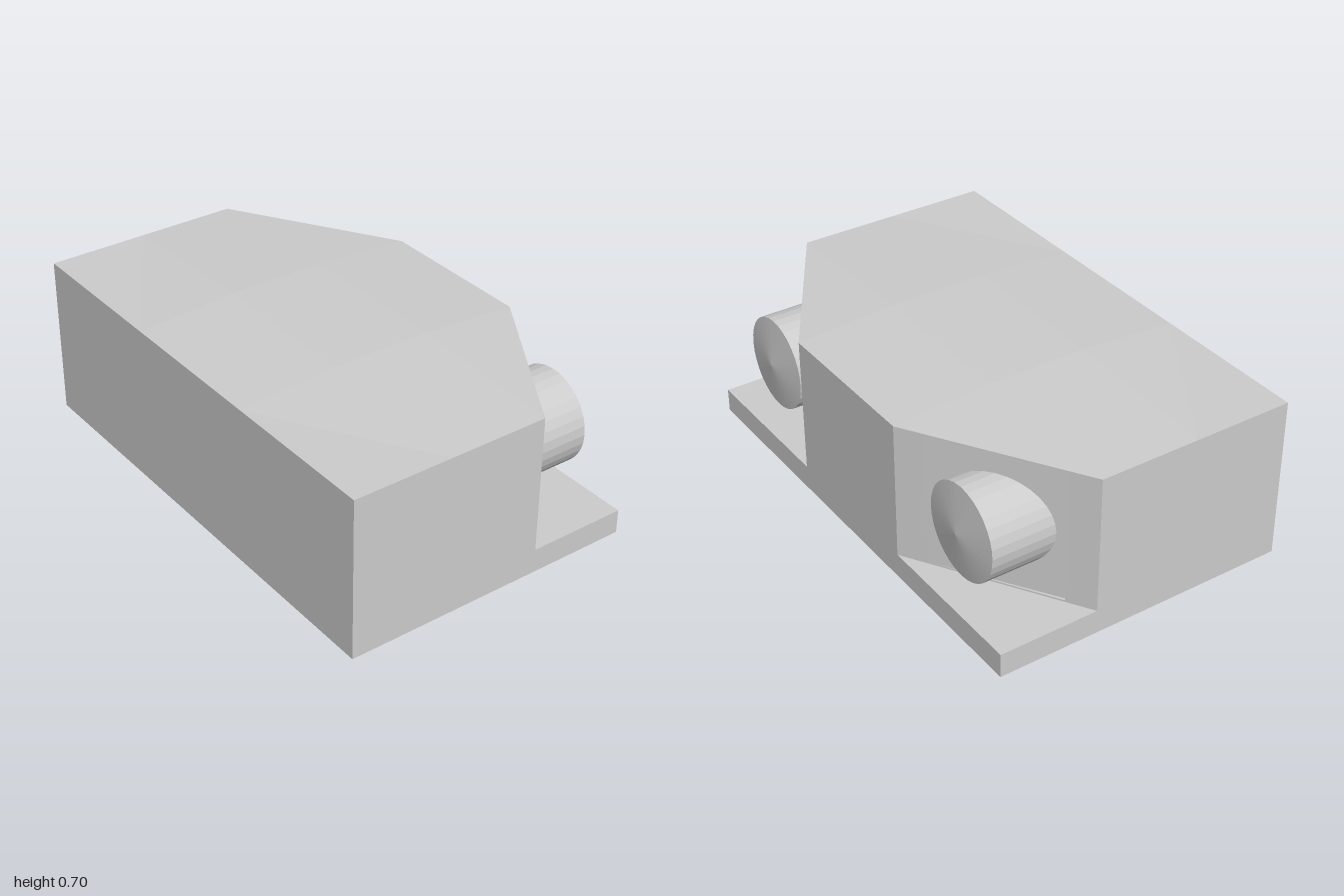
import * as THREE from 'three';

const X = 0.62, Z = 1, XI = 0.207, ZI = 0.335;
const BASE = 0.1, EAVE = 0.67, CROWN = 0.697;

const grey = (side = THREE.FrontSide) =>
  new THREE.MeshStandardMaterial({ color: 0xcccccc, flatShading: true, side });

function named(name, geometry, material = grey()) {
  const mesh = new THREE.Mesh(geometry, material);
  mesh.name = name;
  return mesh;
}

function fromTriangles(points) {
  const g = new THREE.BufferGeometry();
  g.setAttribute('position', new THREE.Float32BufferAttribute(points.flat(), 3));
  g.computeVertexNormals();
  return g;
}

// Shallow crowned roof: a 3 x 3 grid with two corner cells cut diagonally
function roofGeometry() {
  const xs = [-X, -XI, XI, X], zs = [-Z, -ZI, ZI, Z];
  const inner = (i) => i === 1 || i === 2;
  const p = (i, j) => [xs[i], inner(i) && inner(j) ? CROWN : EAVE, zs[j]];
  const tris = [];
  for (let i = 0; i < 3; i++) {
    for (let j = 0; j < 3; j++) {
      const a = p(i, j), b = p(i, j + 1), c = p(i + 1, j + 1), d = p(i + 1, j);
      if (i === 2 && j === 0) tris.push(a, b, c);
      else if (i === 2 && j === 2) tris.push(a, b, d);
      else if (i === 0 && j === 2) tris.push(a, b, c, a, c, d);
      else tris.push(a, b, d, b, c, d);
    }
  }
  return fromTriangles(tris);
}

// Diagonal wall from a to b; its square panel sinks in slightly towards the outer end
function cutWall(a, b, outerAtStart) {
  const group = new THREE.Group();
  group.name = 'cutCorner';
  const dx = b[0] - a[0], dz = b[1] - a[1], len = Math.hypot(dx, dz);
  const h = EAVE - BASE, near = 0.123, far = 0.658, y0 = 0.007, y1 = h - 0.007, depth = 0.01;
  const outer = outerAtStart ? near : len - near;
  const inner = outerAtStart ? far : len - far;
  const rect = (x0, x1, low, high) =>
    [[x0, low], [x1, low], [x1, high], [x0, high]].map((q) => new THREE.Vector2(...q));

  const shape = new THREE.Shape(rect(0, len, 0, h));
  shape.holes.push(new THREE.Path(rect(inner, outer, y0, y1)));
  group.add(named('cornerWall', new THREE.ShapeGeometry(shape)));

  const lip = (y) => [outer, y, 0], sunk = (y) => [outer, y, -depth], flush = (y) => [inner, y, 0];
  const recess = fromTriangles([
    sunk(y0), flush(y0), flush(y1), sunk(y0), flush(y1), sunk(y1),
    lip(y0), sunk(y0), sunk(y1), lip(y0), sunk(y1), lip(y1),
    lip(y0), flush(y0), sunk(y0),
    lip(y1), sunk(y1), flush(y1),
  ]);
  group.add(named('recessedPanel', recess, grey(THREE.DoubleSide)));

  group.position.set(a[0], BASE, a[1]);
  group.rotation.y = Math.atan2(-dz, dx);
  return group;
}

// Round lamp with a shallow conical face, pointing along +x
function lamp(z) {
  const profile = [[0, 0.285], [0.193, 0.285], [0.193, 0.555], [0, 0.58]].map((q) => new THREE.Vector2(...q));
  const mesh = named('lamp', new THREE.LatheGeometry(profile, 32));
  mesh.rotation.z = -Math.PI / 2;
  mesh.position.set(0, 0.386, z);
  return mesh;
}

export function createModel() {
  const model = new THREE.Group();
  model.name = 'housing';

  // Rectangular base slab
  const base = named('base', new THREE.BoxGeometry(2 * X, BASE, 2 * Z));
  base.position.y = BASE / 2;
  model.add(base);

  // Six walls round the body; the two diagonal ones carry panels
  const outline = [[-X, Z], [XI, Z], [X, ZI], [X, -ZI], [XI, -Z], [-X, -Z]];
  const tris = [];
  outline.forEach((a, i) => {
    const b = outline[(i + 1) % outline.length];
    if (i === 1 || i === 3) {
      model.add(cutWall(a, b, i === 1));
      return;
    }
    const a0 = [a[0], BASE, a[1]], a1 = [a[0], EAVE, a[1]];
    const b0 = [b[0], BASE, b[1]], b1 = [b[0], EAVE, b[1]];
    tris.push(a0, b0, b1, a0, b1, a1);
  });
  model.add(named('walls', fromTriangles(tris)));
  model.add(named('roof', roofGeometry()));

  for (const side of [1, -1]) model.add(lamp(side * 0.662));
  return model;
}
